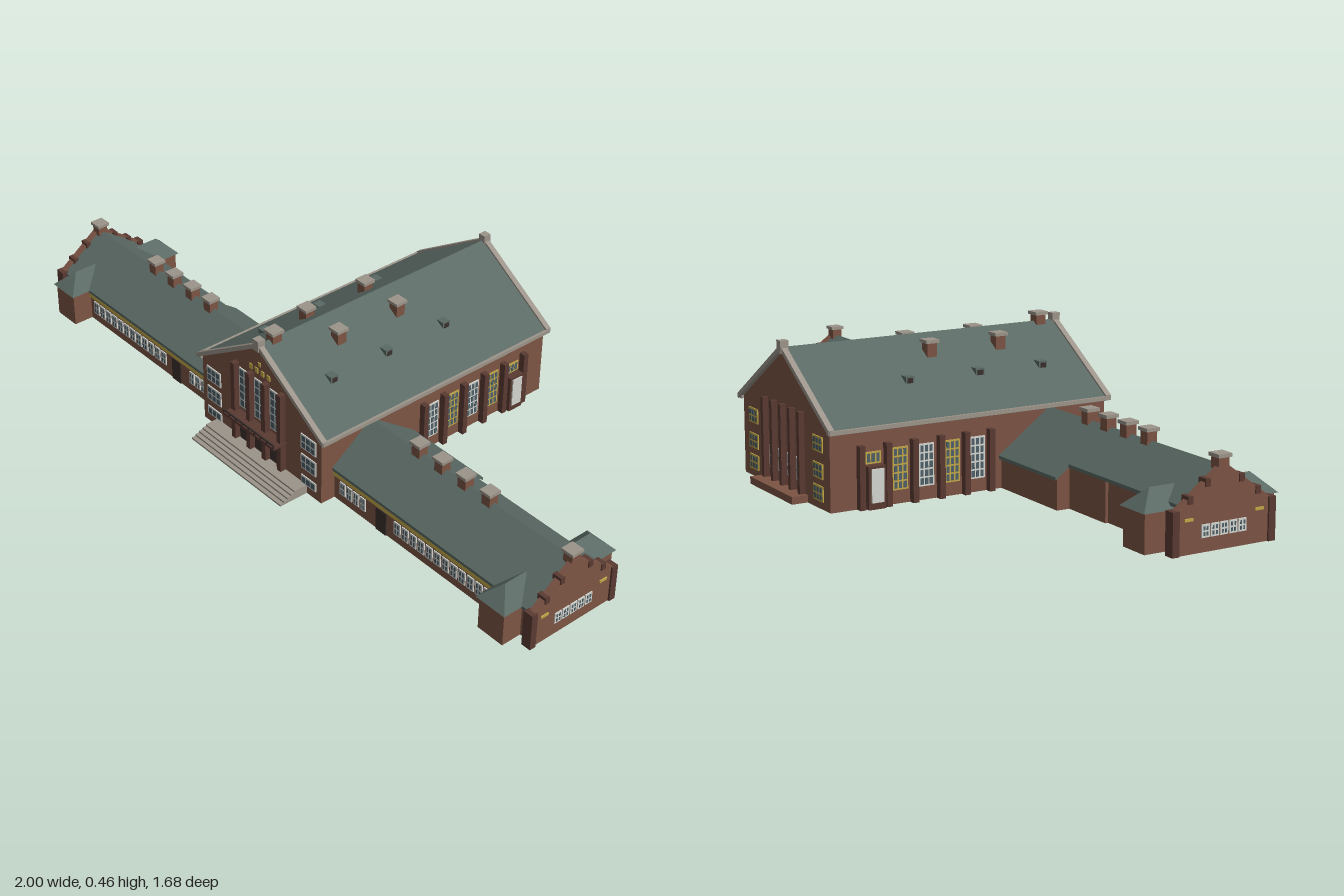
import * as THREE from 'three';
import { ConvexGeometry } from 'three/addons/geometries/ConvexGeometry.js';

const mat = (name, color) => Object.assign(new THREE.MeshStandardMaterial({ color }), { name });
const M = {
  brick: mat('brick', 0x7c5444), darkBrick: mat('dark brick', 0x5a3a32), roof: mat('slate roof', 0x5b6a65),
  stone: mat('stone', 0x9c948a), yellow: mat('yellow paint', 0xc2a848), white: mat('white paint', 0xd4d6d0),
  glass: mat('window glass', 0x4e6068), dark: mat('dark door', 0x3a2f2d),
};

function add(parent, name, geo, material, x = 0, y = 0, z = 0) {
  const m = new THREE.Mesh(geo, material);
  m.name = name;
  m.position.set(x, y, z);
  parent.add(m);
  return m;
}

// Box given by its ranges on each axis
function box(parent, name, material, x0, x1, y0, y1, z0, z1) {
  return add(parent, name, new THREE.BoxGeometry(Math.abs(x1 - x0), y1 - y0, Math.abs(z1 - z0)), material,
    (x0 + x1) / 2, (y0 + y1) / 2, (z0 + z1) / 2);
}

// Cross-section extruded along z from z0 to z1
function prism(parent, name, material, pts, z0, z1) {
  const shape = new THREE.Shape(pts.map(p => new THREE.Vector2(...p)));
  const geo = new THREE.ExtrudeGeometry(shape, { depth: z1 - z0, bevelEnabled: false });
  return add(parent, name, geo, material, 0, 0, z0);
}

// Two-pitched slab following the lines left eave - ridge - right eave
const slab = (l, r, ridge, slope, t) => [
  [-l, ridge - slope * l], [-l, ridge - slope * l - t], [0, ridge - t],
  [r, ridge - slope * r - t], [r, ridge - slope * r], [0, ridge]];
const gable = (l, r, ridge, slope) => [
  [-l, 0], [r, 0], [r, ridge - slope * r], [0, ridge], [-l, ridge - slope * l]];

// Thin framed window with a grid of panes, facing local +z turned by rot
function windowPlate(parent, x, y, z, w, h, rot, cols, rows, frame = M.white) {
  const g = new THREE.Group();
  g.name = 'window';
  g.position.set(x, y, z);
  g.rotation.y = rot;
  parent.add(g);
  add(g, 'windowFrame', new THREE.BoxGeometry(w, h, 0.005), frame);
  const b = 0.005, pw = (w - b) / cols, ph = (h - b) / rows;
  for (let i = 0; i < cols; i++) for (let j = 0; j < rows; j++)
    add(g, 'pane', new THREE.BoxGeometry(pw - b, ph - b, 0.007), M.glass,
      (i + 0.5 - cols / 2) * pw, (j + 0.5 - rows / 2) * ph, 0);
}

function chimney(parent, x, z, y0, y1, s) {
  box(parent, 'chimney', M.brick, x - s / 2, x + s / 2, y0, y1 - 0.01, z - s / 2, z + s / 2);
  const c = s / 2 + 0.005;
  box(parent, 'chimneyCap', M.stone, x - c, x + c, y1 - 0.01, y1, z - c, z + c);
}

function hall() {
  const g = new THREE.Group();
  g.name = 'mainHall';
  const ridge = 0.428, slope = 0.64, H = Math.PI / 2;
  prism(g, 'hallWalls', M.brick, gable(0.285, 0.285, ridge - 0.01, slope), -0.722, 0.195);
  prism(g, 'hallRoof', M.roof, slab(0.3, 0.3, ridge, slope, 0.012), -0.72, 0.193);
  for (const [z0, z1] of [[-0.734, -0.716], [0.189, 0.207]]) {
    prism(g, 'gableCoping', M.stone, slab(0.303, 0.303, ridge + 0.007, slope, 0.016), z0, z1);
    box(g, 'gableFinial', M.stone, -0.013, 0.013, 0.41, 0.448, z0 - 0.004, z1 + 0.004);
  }
  chimney(g, 0, 0.14, 0.4, 0.457, 0.034);

  for (const s of [-1, 1]) {
    box(g, 'gutter', M.stone, s * 0.285, s * 0.306, 0.226, 0.238, -0.73, 0.203);
    for (const z of [-0.285, -0.049]) chimney(g, s * 0.075, z, 0.36, 0.421, 0.033);
    for (const z of [-0.404, -0.169, 0.049]) {
      box(g, 'roofVent', M.roof, s * 0.143, s * 0.172, 0.31, 0.338, z - 0.014, z + 0.014);
      box(g, 'ventLouvre', M.dark, s * 0.171, s * 0.174, 0.318, 0.333, z - 0.009, z + 0.009);
    }
    // Side pilasters, tall windows and door
    for (const z of [-0.207, -0.29, -0.373, -0.46, -0.545, -0.63])
      box(g, 'sidePilaster', M.darkBrick, s * 0.284, s * 0.306, 0, 0.185, z - 0.009, z + 0.009);
    [-0.248, -0.332, -0.417, -0.502].forEach((z, i) =>
      windowPlate(g, s * 0.286, 0.103, z, 0.05, 0.125, s * H, 3, 5, i % 2 ? M.yellow : M.white));
    box(g, 'sideDoorSurround', M.darkBrick, s * 0.284, s * 0.312, 0, 0.125, -0.615, -0.56);
    box(g, 'sideDoor', M.white, s * 0.31, s * 0.316, 0.02, 0.118, -0.607, -0.568);
    windowPlate(g, s * 0.286, 0.145, -0.588, 0.05, 0.035, s * H, 3, 1, M.yellow);
    // Corner windows, front and back
    for (const y of [0.187, 0.11, 0.045])
      windowPlate(g, s * 0.214, y, -0.723, 0.06, 0.045, Math.PI, 3, 2, M.yellow);
    for (const y of [0.187, 0.113])
      windowPlate(g, s * 0.228, y, 0.196, 0.068, 0.052, 0, 3, 2);
    windowPlate(g, s * 0.228, 0.045, 0.196, 0.068, 0.03, 0, 3, 1);
  }

  // Front bay: pilasters, glazing, balcony and small gable lights
  for (const x of [-0.11, -0.037, 0.037, 0.11])
    box(g, 'frontPilaster', M.darkBrick, x - 0.009, x + 0.009, 0.02, 0.31, 0.194, 0.216);
  for (const x of [-0.0735, 0, 0.0735]) {
    windowPlate(g, x, 0.222, 0.196, 0.05, 0.145, 0, 2, 5);
    box(g, 'frontDoor', M.dark, x - 0.025, x + 0.025, 0.03, 0.1, 0.193, 0.199);
    windowPlate(g, x, 0.113, 0.196, 0.05, 0.025, 0, 2, 1);
  }
  box(g, 'balcony', M.darkBrick, -0.122, 0.122, 0.125, 0.135, 0.194, 0.245);
  box(g, 'balconyRail', M.dark, -0.122, 0.122, 0.14, 0.145, 0.24, 0.245);
  for (let i = 0; i < 9; i++) {
    const x = -0.12 + i * 0.03;
    box(g, 'balconyPost', M.dark, x - 0.002, x + 0.002, 0.134, 0.142, 0.24, 0.245);
  }
  for (const x of [-0.042, -0.014, 0.014, 0.042])
    box(g, 'gableLight', M.yellow, x - 0.007, x + 0.007, 0.318, 0.336, 0.193, 0.198);
  box(g, 'topLight', M.yellow, -0.006, 0.006, 0.347, 0.36, 0.193, 0.198);
  for (let i = 0; i < 5; i++)
    box(g, 'frontStep', M.stone, -0.218, 0.218, i * 0.006, (i + 1) * 0.006, 0.19, 0.298 - i * 0.014);

  // Back bay and its low terrace
  for (const x of [-0.12, -0.06, 0, 0.06, 0.12])
    box(g, 'backPilaster', M.darkBrick, x - 0.007, x + 0.007, 0, 0.262, -0.74, -0.721);
  for (const x of [-0.09, -0.03, 0.03, 0.09]) windowPlate(g, x, 0.088, -0.723, 0.028, 0.068, Math.PI, 1, 2);
  box(g, 'terrace', M.brick, -0.142, 0.142, 0, 0.022, -0.772, -0.72);
  return g;
}

function wing(s) {
  const g = new THREE.Group();
  g.name = s > 0 ? 'leftWing' : 'rightWing';
  const ridge = 0.226, slope = 0.735;
  // Lengthwise prism between distances a0 and a1 from the centre; profile x runs to the back
  const along = (name, material, pts, a0, a1) => {
    const m = prism(g, name, material, pts, 0, a1 - a0);
    m.rotation.y = Math.PI / 2;
    m.position.set(s > 0 ? a0 : -a1, 0, 0);
  };
  const bx = (name, material, a0, a1, ...r) => box(g, name, material, s * a0, s * a1, ...r);

  along('wingWalls', M.brick, gable(0.143, 0.115, ridge - 0.01, slope), 0.28, 1.12);
  along('wingRoof', M.roof, slab(0.152, 0.13, ridge, slope, 0.01), 0.28, 1.115);
  along('rearAnnexWalls', M.brick, gable(0.1, 0.165, ridge - 0.01, slope), 0.28, 0.585);
  along('rearAnnexRoof', M.roof, slab(0.1, 0.174, ridge, slope, 0.01), 0.28, 0.59);
  bx('rearWallStep', M.brick, 0.58, 0.765, 0, 0.12, -0.124, -0.1);
  bx('eaveBoard', M.yellow, 0.285, 0.985, 0.086, 0.112, 0.14, 0.149);

  // Gable end with shoulders, chimney and windows
  along('endGable', M.brick, gable(0.162, 0.162, ridge + 0.008, slope), 1.112, 1.132);
  for (const z of [-0.157, 0.157]) bx('gableShoulder', M.darkBrick, 1.105, 1.138, 0, 0.122, z - 0.011, z + 0.011);
  for (const z of [-0.11, -0.055, 0.055, 0.11]) {
    const y = ridge - Math.abs(z) * slope;
    bx('gableTooth', M.darkBrick, 1.104, 1.136, y - 0.01, y + 0.012, z - 0.008, z + 0.008);
  }
  chimney(g, s * 1.112, 0, 0.19, 0.256, 0.034);
  for (let i = -2; i <= 2; i++)
    windowPlate(g, s * 1.133, 0.058, i * 0.03, 0.026, 0.036, s * Math.PI / 2, 2, 2);
  for (const z of [-0.115, 0.115]) bx('gableMark', M.yellow, 1.13, 1.136, 0.09, 0.098, z - 0.014, z + 0.014);

  // Corner turrets with hipped roofs
  for (const f of [-1, 1]) {
    bx('turret', M.brick, 0.978, 1.075, 0, 0.115, f * 0.09, f * 0.212);
    const v = (a, y, z) => new THREE.Vector3(s * a, y, f * z);
    add(g, 'turretRoof', new ConvexGeometry([
      v(0.97, 0.112, 0.22), v(1.083, 0.112, 0.22), v(0.97, 0.112, 0.09), v(1.083, 0.112, 0.09),
      v(1.0265, 0.166, 0.165), v(1.0265, 0.166, 0.085)]), M.roof);
  }

  for (const a of [0.497, 0.594, 0.691, 0.79]) chimney(g, s * a, 0, 0.2, 0.262, 0.033);

  // Front windows and door
  const row = (a0, a1, n) => {
    const step = (a1 - a0) / n;
    for (let i = 0; i < n; i++)
      windowPlate(g, s * (a0 + (i + 0.5) * step), 0.053, 0.144, step * 0.82, 0.046, 0, 2, 2);
  };
  row(0.31, 0.43, 4);
  row(0.55, 0.96, 12);
  bx('wingDoor', M.dark, 0.475, 0.52, 0, 0.08, 0.14, 0.147);
  return g;
}

export function createModel() {
  const model = new THREE.Group();
  model.name = 'stationBuilding';
  const building = new THREE.Group();
  building.name = 'building';
  building.rotation.y = -0.665;
  building.add(hall(), wing(1), wing(-1));
  model.add(building);
  return model;
}
